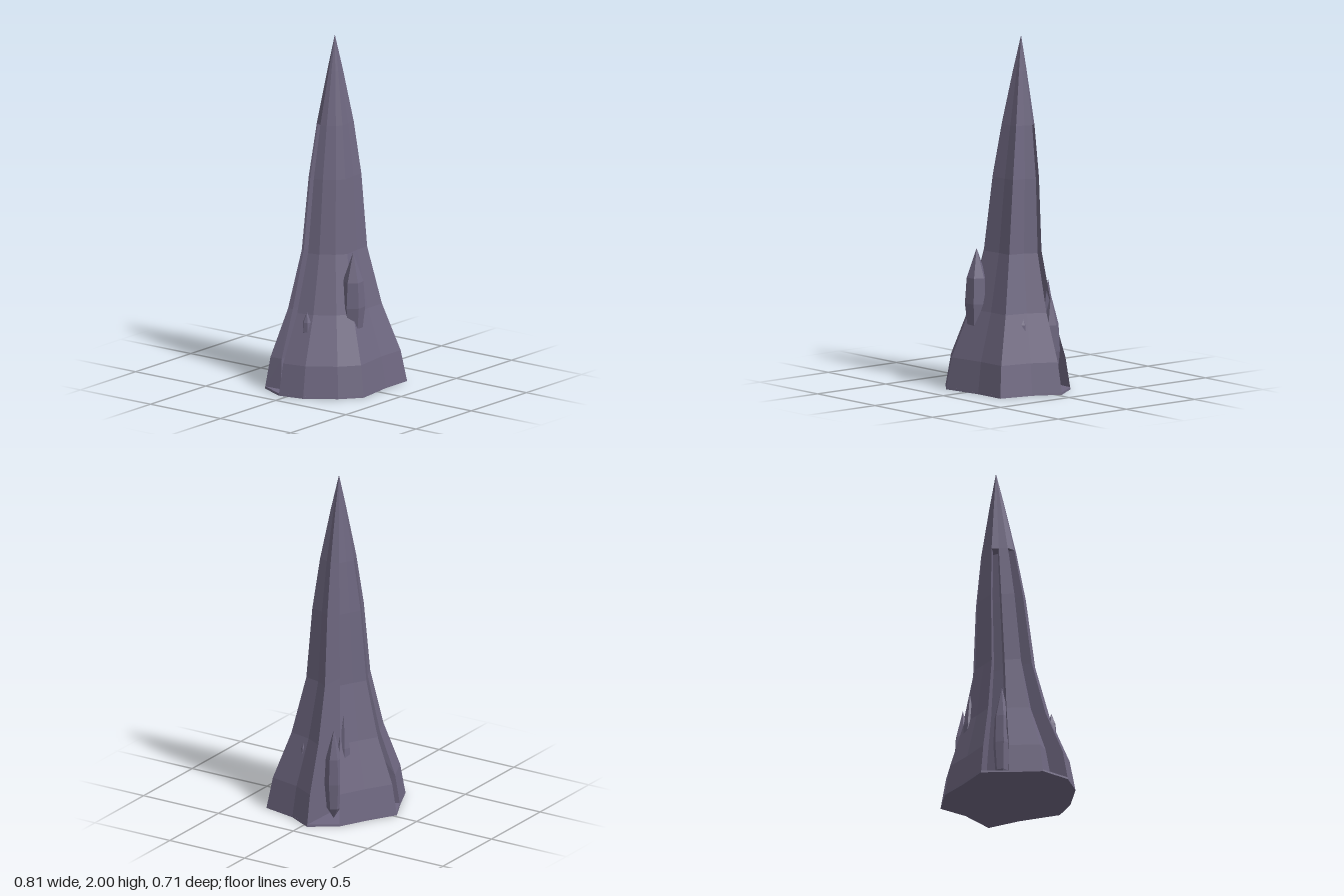
import * as THREE from 'three';

const stone = new THREE.MeshStandardMaterial({ color: 0x6e6780, flatShading: true });
stone.name = 'purple grey stone';

// Taper of the spire: height, scale of the footprint, drift of the axis in x and z
const levels = [
  [0, 1, 0, 0], [0.18, 0.915, 0, 0], [0.45, 0.66, 0.01, -0.003], [0.78, 0.46, 0.018, -0.006],
  [1.2, 0.37, 0.035, -0.012], [1.5, 0.26, 0.047, -0.016], [1.8, 0.11, 0.055, -0.018], [2, 0.001, 0.06, -0.02],
];
const slotTop = 5;

// Footprints as [x, z], running left, front, right, back
const front = [[-0.41, -0.05], [-0.38, 0.1], [-0.265, 0.26], [-0.15, 0.352],
  [0.09, 0.32], [0.283, 0.32], [0.325, 0.12], [0.405, -0.03]];
const backEast = [[0.3, -0.18], [0.14, -0.26], [-0.02, -0.355]];
const backWest = [[-0.16, -0.285], [-0.335, -0.208]];
const outline = [...front, ...backEast, ...backWest];

function ring(points, [y, k, dx, dz]) {
  return points.map(([x, z]) => [x * k + dx, y, z * k + dz]);
}

// Skins a stack of closed loops and caps both ends
function loft(name, rings) {
  const pos = [];
  const tri = (a, b, c) => pos.push(...a, ...b, ...c);
  const n = rings[0].length;
  for (let r = 0; r < rings.length - 1; r++) {
    for (let i = 0; i < n; i++) {
      const j = (i + 1) % n, lo = rings[r], hi = rings[r + 1];
      if ((i + r) % 2) {
        tri(lo[i], lo[j], hi[j]);
        tri(lo[i], hi[j], hi[i]);
      } else {
        tri(lo[i], lo[j], hi[i]);
        tri(lo[j], hi[j], hi[i]);
      }
    }
  }
  const cap = (loop, up) => {
    const c = [0, 1, 2].map((a) => loop.reduce((s, p) => s + p[a], 0) / n);
    loop.forEach((p, i) => {
      const q = loop[(i + 1) % n];
      if (up) tri(c, p, q); else tri(c, q, p);
    });
  };
  cap(rings[0], false);
  cap(rings[rings.length - 1], true);
  const geo = new THREE.BufferGeometry();
  geo.setAttribute('position', new THREE.Float32BufferAttribute(pos, 3));
  geo.computeVertexNormals();
  const mesh = new THREE.Mesh(geo, stone);
  mesh.name = name;
  return mesh;
}

// Six-sided shard, pointed at both ends
function shard(name, x, z, radius, bottom, top) {
  const h = top - bottom;
  const profile = [[0, 0], [0.75, 0.12], [1, 0.4], [0.85, 0.68], [0, 1]]
    .map(([r, t]) => new THREE.Vector2(r * radius, t * h));
  const mesh = new THREE.Mesh(new THREE.LatheGeometry(profile, 6), stone);
  mesh.position.set(x, bottom, z);
  mesh.rotation.y = x * 7;
  mesh.name = name;
  return mesh;
}

export function createModel() {
  const group = new THREE.Group();
  group.name = 'stoneSpire';
  const lower = levels.slice(0, slotTop + 1);

  // Thin floor of the slots
  group.add(loft('baseFloor', [ring(outline, levels[0]), ring(outline, [0.012, 0.995, 0, 0])]));

  // Three columns parted by deep slots
  group.add(loft('frontColumn', lower.map((l) => ring(front, l))));
  group.add(loft('backLeftFin', lower.map((l) => ring([...backEast, [0.03, -0.2]], l))));
  group.add(loft('backRightFin', lower.map((l) => {
    const lipZ = -0.1 - 0.08 * Math.min(1, l[0] / 0.6);
    return ring([...backWest, [-0.33, lipZ], [-0.09, lipZ - 0.02]], l);
  })));

  // Solid peak joining the columns
  group.add(loft('peak', levels.slice(slotTop).map((l) => ring(outline, l))));

  // Small shards on the faces and in the slots
  [
    ['frontShard', -0.06, 0.205, 0.068, 0.28, 0.8],
    ['rightShard', -0.262, 0.035, 0.028, 0.28, 0.47],
    ['leftShard', 0.222, 0.105, 0.025, 0.3, 0.43],
    ['slotShardRight', -0.1, -0.09, 0.06, 0.01, 0.54],
    ['slotShardBack', -0.05, -0.16, 0.05, 0.01, 0.6],
    ['slotShardLeft', 0.23, -0.095, 0.052, 0.01, 0.54],
    ['slotShardInner', 0.17, -0.125, 0.042, 0.01, 0.62],
  ].forEach((s) => group.add(shard(...s)));

  return group;
}
